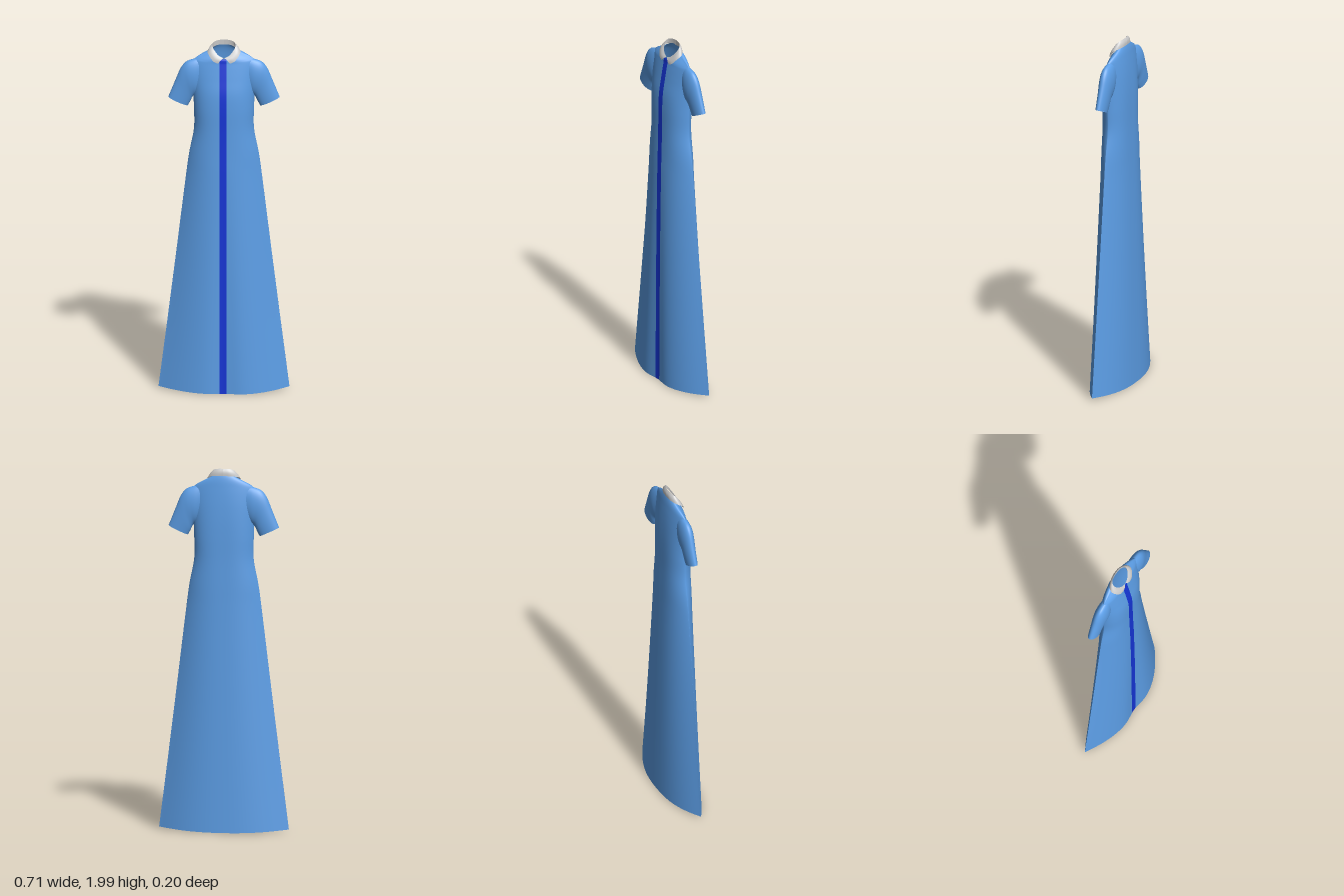
import * as THREE from 'three';

const material = (color) => new THREE.MeshStandardMaterial({ color, side: THREE.DoubleSide, roughness: 0.9 });

// Smooth sheet from a rule (u, v) -> [x, y, z]; its front is along u x v
function sheet(name, rule, nu, nv, mat) {
  const pos = [], index = [];
  for (let j = 0; j <= nv; j++)
    for (let i = 0; i <= nu; i++) pos.push(...rule(i / nu, j / nv));
  for (let j = 0; j < nv; j++)
    for (let i = 0; i < nu; i++) {
      const a = j * (nu + 1) + i, d = a + nu + 1;
      index.push(a, a + 1, d, a + 1, d + 1, d);
    }
  const geo = new THREE.BufferGeometry();
  geo.setAttribute('position', new THREE.Float32BufferAttribute(pos, 3));
  geo.setIndex(index);
  geo.computeVertexNormals();
  const mesh = new THREE.Mesh(geo, mat);
  mesh.name = name;
  return mesh;
}

// Smooth interpolation through rows of numbers, at = 0..1
function rowSpline(rows) {
  const spline = new THREE.CubicInterpolant(rows.map((_, i) => i), rows.flat(), rows[0].length);
  return (at) => Array.from(spline.evaluate(at * (rows.length - 1)));
}

// Dress cross-sections: height, half width, front z, back z, profile powers, neckline tilt
const dressRow = rowSpline([
  [0.00, 0.355, 0.098, -0.103, 2.5, 1.10, 0],
  [0.40, 0.307, 0.091, -0.096, 2.5, 1.10, 0],
  [0.80, 0.258, 0.083, -0.088, 2.5, 1.05, 0],
  [1.20, 0.210, 0.073, -0.079, 2.6, 0.95, 0],
  [1.36, 0.189, 0.068, -0.076, 2.8, 0.85, 0],
  [1.50, 0.163, 0.065, -0.073, 3.0, 0.75, 0],
  [1.62, 0.163, 0.064, -0.072, 3.0, 0.70, 0],
  [1.71, 0.167, 0.059, -0.070, 2.8, 0.70, 0],
  [1.79, 0.172, 0.046, -0.066, 2.5, 0.70, 0],
  [1.85, 0.176, 0.036, -0.061, 2.2, 0.75, 0.003],
  [1.89, 0.168, 0.030, -0.056, 2.0, 0.75, 0.010],
  [1.91, 0.145, 0.029, -0.052, 2.0, 0.70, 0.020],
  [1.926, 0.110, 0.028, -0.047, 2.0, 0.60, 0.027],
  [1.94, 0.074, 0.025, -0.040, 2.0, 0.50, 0.033],
]);

const PLACKET = [-0.023, 0.013];

// Point on the dress at an angle around row v; from/to give the angle range per half width
function dressSurface(from, to) {
  return (u, v) => {
    const [y, w, front, back, p, q, tilt] = dressRow(v);
    const angle = THREE.MathUtils.lerp(from(w), to(w), u);
    const t = Math.cos(angle), s = Math.sin(angle), mid = -0.01;
    const full = Math.pow(Math.max(0, 1 - Math.pow(Math.abs(t), p)), q);
    let z = mid + ((s > 0 ? front : back) - mid) * full;
    // shallow fold along the front opening of the skirt
    const skirt = Math.max(0, 1 - y / 1.3);
    if (s > 0) z += skirt * full * (0.015 * t - 0.016 * Math.exp(-((t / 0.2) ** 2)));
    return [w * t, y + 0.006 * Math.max(0, 1 - y / 0.4) + 0.012 * t * t * Math.max(0, 1 - y / 0.4) - tilt * s, z];
  };
}

// Sleeve rows: outer x, y, inner x, y, half thickness, centre z
const sleeveRow = rowSpline([
  [0.125, 1.905, 0.125, 1.72, 0.030, -0.014],
  [0.165, 1.898, 0.150, 1.70, 0.036, -0.013],
  [0.205, 1.882, 0.165, 1.69, 0.036, -0.013],
  [0.235, 1.845, 0.174, 1.675, 0.033, -0.014],
  [0.262, 1.780, 0.183, 1.655, 0.030, -0.015],
  [0.302, 1.680, 0.196, 1.631, 0.026, -0.015],
]);

function sleeveSurface(side) {
  return (u, v) => {
    const [ox, oy, ix, iy, thick, z] = sleeveRow(v);
    const a = Math.PI * 2 * (side > 0 ? u : 1 - u) + Math.PI;
    const k = (1 + Math.cos(a)) / 2;
    return [side * (ix + (ox - ix) * k), iy + (oy - iy) * k, z + thick * Math.sin(a)];
  };
}

// Half collar lines from front to back: fold, outer edge and inside edge of the stand
const fold = rowSpline([
  [0.003, 1.915, 0.024], [0.030, 1.928, 0.019], [0.055, 1.957, 0.004],
  [0.062, 1.978, -0.010], [0.052, 1.993, -0.025], [0.028, 1.999, -0.034], [0, 2.0, -0.037]]);
const edge = rowSpline([
  [0.033, 1.886, 0.034], [0.058, 1.898, 0.031], [0.081, 1.926, 0.016],
  [0.090, 1.944, -0.006], [0.075, 1.955, -0.028], [0.042, 1.960, -0.043], [0, 1.962, -0.047]]);
const stand = (u) => {
  const [x, y, z] = fold(u);
  return [x * 1.03, y - 0.006 - 0.024 * u, z - 0.001];
};

function collarSurface(lineA, lineB, side, bulge) {
  return (u, v) => {
    const at = side > 0 ? 1 - u : u;
    const a = lineA(at), b = lineB(at);
    const p = a.map((n, i) => n + (b[i] - n) * v);
    const puff = bulge * Math.sin(Math.PI * v);
    return [side * (p[0] + puff * 0.5 * Math.sin(Math.PI * at)), p[1] + puff * 0.6, p[2] + puff * Math.cos(Math.PI * at)];
  };
}

export function createModel() {
  const model = new THREE.Group();
  model.name = 'dress';
  const cloth = material(0x5c9ee6), trim = material(0x1535d6), grey = material(0xcccccc);

  // Body wraps from one side of the placket round the back to the other
  const right = (w) => Math.acos(PLACKET[0] / w), left = (w) => Math.acos(PLACKET[1] / w);
  model.add(sheet('body', dressSurface((w) => left(w) + Math.PI * 2, right), 112, 78, cloth));
  model.add(sheet('placket', dressSurface(right, left), 6, 78, trim));

  const collar = new THREE.Group();
  collar.name = 'collar';
  for (const [side, label] of [[1, 'left'], [-1, 'right']]) {
    model.add(sheet(label + 'Sleeve', sleeveSurface(side), 40, 24, cloth));
    collar.add(sheet(label + 'CollarLeaf', collarSurface(fold, edge, side, 0.004), 30, 6, grey));
    collar.add(sheet(label + 'CollarStand', collarSurface(stand, fold, side, 0), 30, 2, grey));
  }
  model.add(collar);
  return model;
}
